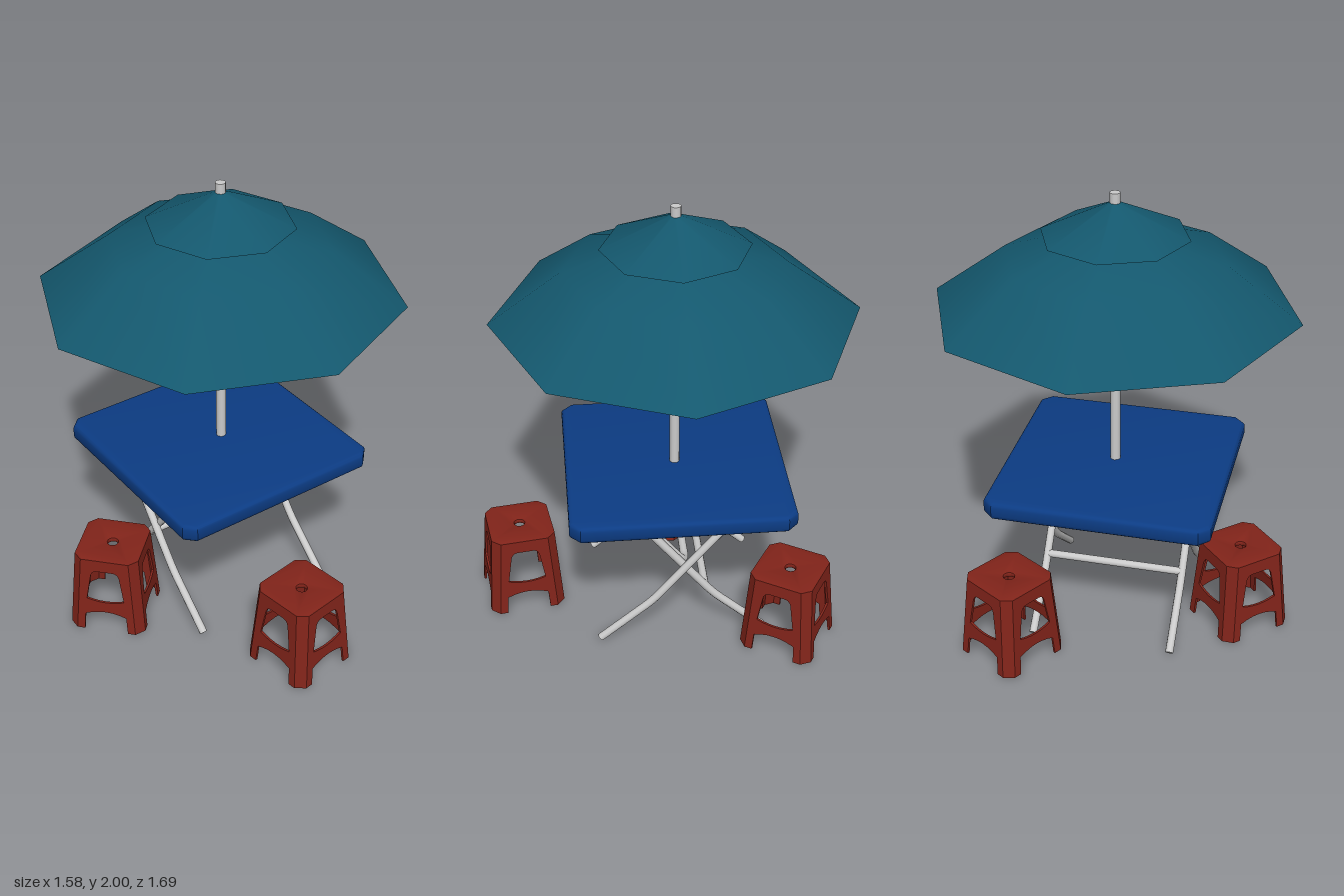
import * as THREE from 'three';
import { toCreasedNormals } from 'three/addons/utils/BufferGeometryUtils.js';

const mat = (color, side = THREE.FrontSide) => new THREE.MeshStandardMaterial({ color, side });
const steel = mat(0xcccccc, THREE.DoubleSide);
const teal = mat(0x14586e, THREE.DoubleSide);
const blue = mat(0x0c3c84);
const red = mat(0x82241a, THREE.DoubleSide);
const V = (x, y, z) => new THREE.Vector3(x, y, z);

function add(parent, name, geometry, material) {
  const mesh = new THREE.Mesh(geometry, material);
  mesh.name = name;
  parent.add(mesh);
  return mesh;
}

// Round tube along straight runs with softened bends, closed at both ends
function tube(parent, name, points, radius = 0.018, soft = 0.05) {
  const path = new THREE.CurvePath();
  let from = points[0];
  for (let i = 1; i < points.length - 1; i++) {
    const p = points[i];
    const a = p.clone().add(points[i - 1].clone().sub(p).setLength(soft));
    const b = p.clone().add(points[i + 1].clone().sub(p).setLength(soft));
    path.add(new THREE.LineCurve3(from, a));
    path.add(new THREE.QuadraticBezierCurve3(a, p, b));
    from = b;
  }
  const last = points[points.length - 1];
  path.add(new THREE.LineCurve3(from, last));
  const segments = points.length > 2 ? 48 : 1;
  add(parent, name, new THREE.TubeGeometry(path, segments, radius, 10), steel);
  [[points[0], points[1]], [last, points[points.length - 2]]].forEach(([end, inner]) => {
    const cap = add(parent, name + 'End', new THREE.CircleGeometry(radius, 10), steel);
    cap.position.copy(end);
    cap.lookAt(end.clone().multiplyScalar(2).sub(inner));
  });
}

// Square outline with cut corners: d = half width, w = half length of the straight side
function cutSquare(d, w) {
  return new THREE.Shape([[w, -d], [d, -w], [d, w], [w, d], [-w, d], [-d, w], [-d, -w], [-w, -d]]
    .map(([x, y]) => new THREE.Vector2(x, y)));
}

// Stool dimensions at floor and at seat level
const H = 0.382, D0 = 0.172, W0 = 0.135, D1 = 0.145, W1 = 0.108;

// Leaning wall: an upright shape whose distance from the centre shrinks with height
function wall(shape, bottom, top) {
  const g = new THREE.ExtrudeGeometry(shape, { depth: 0.01, bevelEnabled: false, curveSegments: 6 });
  const p = g.attributes.position;
  for (let i = 0; i < p.count; i++) {
    p.setZ(i, p.getZ(i) - 0.01 + THREE.MathUtils.lerp(bottom, top, p.getY(i) / H));
  }
  g.computeVertexNormals();
  return g;
}

function sideWall() {
  const s = new THREE.Shape();
  s.moveTo(-W0, 0);
  s.lineTo(-0.1, 0);
  s.lineTo(-0.094, 0.085);
  s.quadraticCurveTo(0, 0.125, 0.094, 0.085);
  s.lineTo(0.1, 0);
  s.lineTo(W0, 0);
  s.lineTo(W1, H);
  s.lineTo(-W1, H);
  s.closePath();
  const window = new THREE.Path();
  window.moveTo(-0.085, 0.172);
  window.lineTo(-0.066, 0.29);
  window.quadraticCurveTo(-0.062, 0.325, -0.035, 0.325);
  window.lineTo(0.035, 0.325);
  window.quadraticCurveTo(0.062, 0.325, 0.066, 0.29);
  window.lineTo(0.085, 0.172);
  window.quadraticCurveTo(0, 0.145, -0.085, 0.172);
  s.holes.push(window);
  return wall(s, D0, D1);
}

function cornerWall() {
  const h0 = (D0 - W0) / Math.SQRT2, h1 = (D1 - W1) / Math.SQRT2;
  const s = new THREE.Shape([[-h0, 0], [h0, 0], [h1, H], [-h1, H]].map(([x, y]) => new THREE.Vector2(x, y)));
  return wall(s, (D0 + W0) / Math.SQRT2, (D1 + W1) / Math.SQRT2);
}

// Seat plate with rounded rim and a finger hole
function seatPlate() {
  const s = cutSquare(D1 - 0.012, W1 - 0.006);
  s.holes.push(new THREE.Path().absarc(0, 0, 0.034, 0, Math.PI * 2, true));
  const g = new THREE.ExtrudeGeometry(s, {
    depth: 0.006, bevelEnabled: true, bevelSize: 0.012, bevelThickness: 0.01, bevelSegments: 2, curveSegments: 10,
  });
  g.rotateX(-Math.PI / 2);
  return toCreasedNormals(g, 0.6);
}

function createStool(side, corner, seat) {
  const stool = new THREE.Group();
  stool.name = 'stool';
  for (let i = 0; i < 4; i++) {
    add(stool, 'stoolSide', side, red).rotation.y = i * Math.PI / 2;
    add(stool, 'stoolCorner', corner, red).rotation.y = (i + 0.5) * Math.PI / 2;
  }
  add(stool, 'stoolSeat', seat, red).position.y = H - 0.014;
  return stool;
}

export function createModel() {
  const model = new THREE.Group();
  model.name = 'parasolTableSet';

  // Parasol: pole and two eight-sided canopy tiers
  const parasol = new THREE.Group();
  parasol.name = 'parasol';
  parasol.position.z = -0.055;
  model.add(parasol);
  add(parasol, 'pole', new THREE.CylinderGeometry(0.022, 0.022, 1.3, 12), steel).position.y = 1.35;
  const canopy = (name, profile) => add(parasol, name,
    new THREE.LatheGeometry(profile.map(([r, y]) => new THREE.Vector2(r, y)), 8), teal);
  canopy('lowerCanopy', [[0.786, 1.495], [0.472, 1.725], [0.17, 1.82], [0.02, 1.865]]);
  canopy('upperCanopy', [[0.316, 1.817], [0.015, 1.96]]);

  // Table
  const table = new THREE.Group();
  table.name = 'table';
  table.position.x = -0.02;
  model.add(table);
  const top = new THREE.ExtrudeGeometry(cutSquare(0.469, 0.435), {
    depth: 0.04, bevelEnabled: true, bevelSize: 0.02, bevelThickness: 0.02, bevelSegments: 3,
  });
  top.rotateX(-Math.PI / 2);
  add(table, 'tableTop', toCreasedNormals(top, 0.6), blue).position.set(0, 0.697, -0.055);

  // Crossed folding legs, mirrored left and right
  for (const s of [-1, 1]) {
    tube(table, 'outerLeg', [V(s * 0.336, 0.69, -0.315), V(s * 0.336, 0.215, 0.08), V(s * 0.336, 0.017, 0.31)]
      .map((p, i) => (i === 1 ? V(p.x, 0.22, 0.07) : p)));
    tube(table, 'innerLeg', [V(s * 0.312, 0.6, 0.095), V(s * 0.312, 0.22, -0.205), V(s * 0.312, 0.017, -0.43)]);
  }
  tube(table, 'lowerCrossbar', [V(-0.312, 0.27, -0.165), V(0.312, 0.27, -0.165)]);
  tube(table, 'upperFrame', [
    V(-0.284, 0.69, 0.165), V(-0.284, 0.38, -0.08), V(0.284, 0.38, -0.08), V(0.284, 0.69, 0.165),
  ], 0.018, 0.06);

  // Three stools around the table
  const side = sideWall(), corner = cornerWall(), seat = seatPlate();
  [[-0.08, 0.655, 0.15], [-0.578, -0.075, 0.75], [0.358, -0.537, -0.55]].forEach(([x, z, turn]) => {
    const stool = createStool(side, corner, seat);
    stool.position.set(x, 0.012, z);
    stool.rotation.y = turn;
    model.add(stool);
  });
  return model;
}
